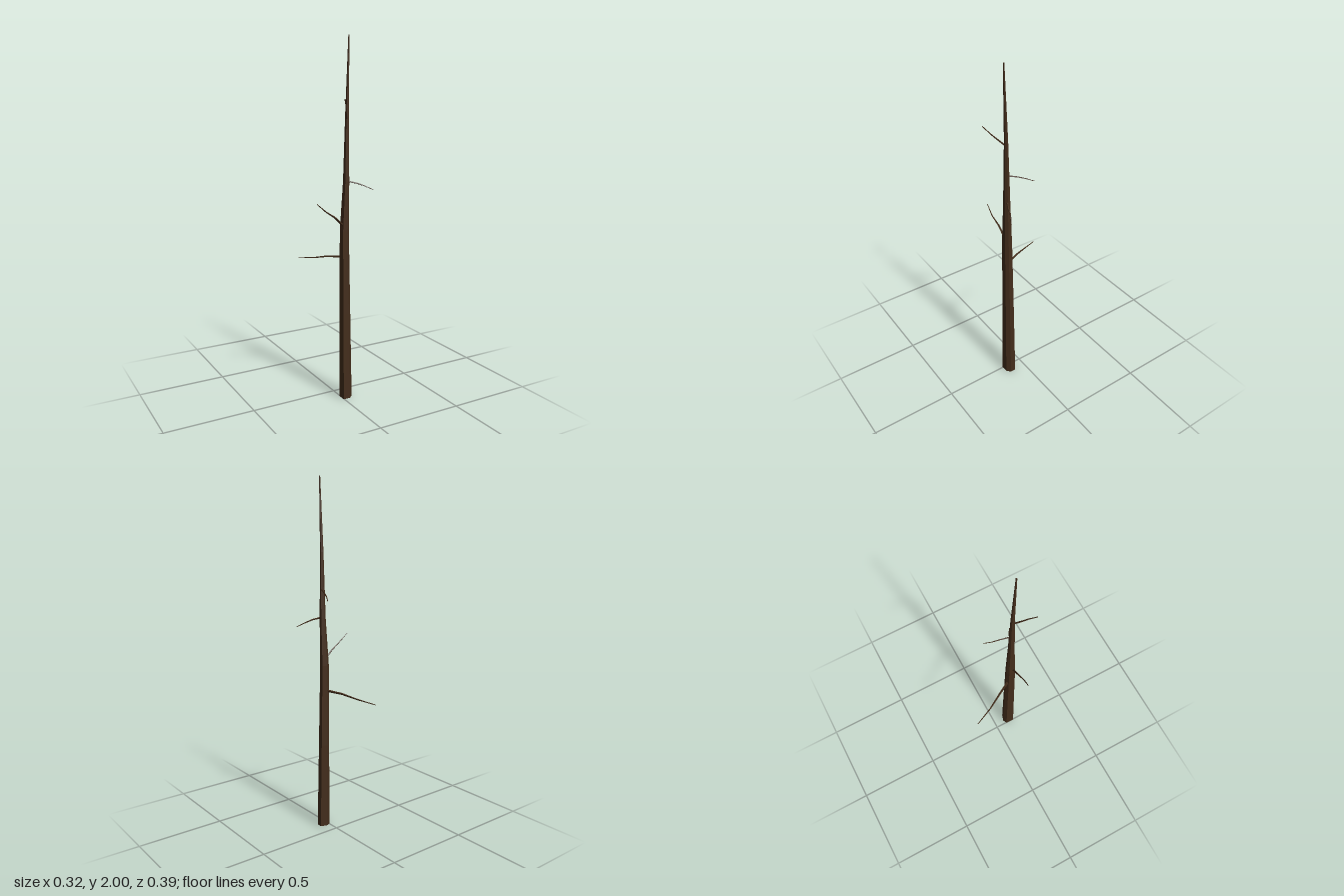
import * as THREE from 'three';

const UP = new THREE.Vector3(0, 1, 0);
const bark = new THREE.MeshStandardMaterial({ color: 0x432d1b, flatShading: true });

// Cross-sections as [x, z] corners
const trunkOutline = [[0.032, 0.012], [0.01, 0.032], [-0.031, 0.032], [-0.031, -0.02], [-0.006, -0.032], [0.032, -0.02]];
const branchOutline = [[1, 0], [0, 1], [-1, 0], [0, -1]];

// Lofts an outline along [x, y, z, scale] stations and caps both ends.
function taperedLimb(name, stations, outline, level = false) {
  const sides = outline.length;
  const centres = stations.map(([x, y, z]) => new THREE.Vector3(x, y, z));
  const positions = [];
  const index = [];
  centres.forEach((centre, i) => {
    const before = centres[Math.max(i - 1, 0)];
    const after = centres[Math.min(i + 1, centres.length - 1)];
    const direction = level ? UP : after.clone().sub(before).normalize();
    const tilt = new THREE.Quaternion().setFromUnitVectors(UP, direction);
    for (const [x, z] of outline) {
      const p = new THREE.Vector3(x, 0, z).multiplyScalar(stations[i][3]);
      positions.push(...p.applyQuaternion(tilt).add(centre).toArray());
    }
  });
  const last = (centres.length - 1) * sides;
  for (let i = 0; i < last; i += sides) {
    for (let s = 0; s < sides; s++) {
      const a = i + s;
      const b = i + ((s + 1) % sides);
      index.push(a, a + sides, b, b, a + sides, b + sides);
    }
  }
  for (let s = 1; s < sides - 1; s++) {
    index.push(0, s, s + 1, last, last + s + 1, last + s);
  }
  const geometry = new THREE.BufferGeometry();
  geometry.setAttribute('position', new THREE.Float32BufferAttribute(positions, 3));
  geometry.setIndex(index);
  geometry.computeVertexNormals();
  const mesh = new THREE.Mesh(geometry, bark);
  mesh.name = name;
  return mesh;
}

export function createModel() {
  const tree = new THREE.Group();
  tree.name = 'bareTree';

  // Irregular six-sided trunk, bent at mid height, tapering to a thin tip
  tree.add(taperedLimb('trunk', [
    [0.028, 0, 0.092, 1],
    [0.023, 0.5, 0.09, 0.85],
    [0.018, 0.97, 0.089, 0.7],
    [0.025, 1.24, 0.094, 0.48],
    [0.027, 1.6, 0.096, 0.27],
    [0.03, 2, 0.107, 0.09],
  ], trunkOutline, true));

  // Thin crooked branches: base radius, then points from trunk to tip
  const branches = {
    lowBackBranch: [0.0075, [0.01, 0.822, 0.08], [-0.035, 0.813, -0.005], [-0.08, 0.791, -0.09], [-0.123, 0.776, -0.193]],
    rightBranch: [0.0065, [0.01, 0.995, 0.1], [-0.05, 1.051, 0.101], [-0.105, 1.086, 0.107], [-0.158, 1.132, 0.102]],
    leftBranch: [0.005, [0.03, 1.242, 0.097], [0.075, 1.231, 0.12], [0.115, 1.216, 0.134], [0.157, 1.194, 0.158]],
    highBackBranch: [0.005, [0.033, 1.399, 0.092], [0.05, 1.386, 0.045], [0.065, 1.369, 0.003], [0.086, 1.352, -0.035]],
    topFrontBranch: [0.0045, [0.024, 1.569, 0.098], [0.001, 1.606, 0.133], [-0.016, 1.636, 0.16], [-0.042, 1.676, 0.191]],
  };
  for (const [name, [radius, ...points]] of Object.entries(branches)) {
    const stations = points.map((p, i) => [...p, THREE.MathUtils.lerp(radius, 0.002, i / 3)]);
    tree.add(taperedLimb(name, stations, branchOutline));
  }
  return tree;
}
